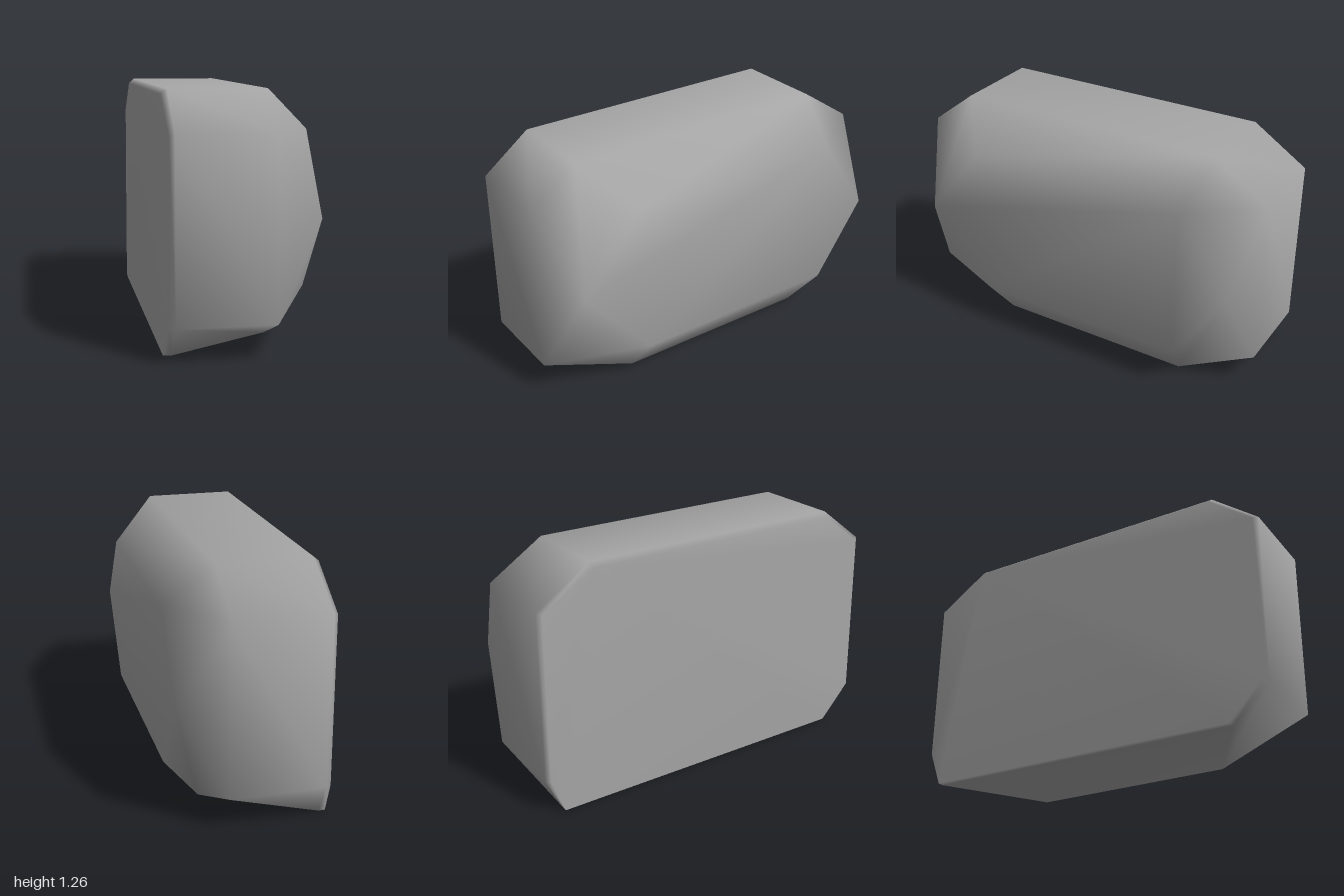
import * as THREE from 'three';
import { mergeVertices } from 'three/addons/utils/BufferGeometryUtils.js';

// Cross-sections from -x to +x. Each runs: top back, top front, upper front,
// lower front, bottom front, bottom back, lower back, upper back as [x, y, z].
const sections = [
  // flat side
  [[-0.38, 1.235, -0.7], [-0.38, 1.235, 0.74], [-0.375, 1.06, 0.975], [-0.38, 0.18, 0.975],
    [-0.385, 0, 0.8], [-0.385, 0, -0.91], [-0.38, 0.18, -0.98], [-0.375, 1.06, -0.98]],
  // narrow bevel
  [[-0.35, 1.26, -0.71], [-0.35, 1.26, 0.75], [-0.35, 1.07, 1], [-0.35, 0.18, 1],
    [-0.35, 0, 0.81], [-0.35, 0, -0.91], [-0.35, 0.18, -1], [-0.35, 1.07, -1]],
  // end of the full-size body
  [[0.13, 1.26, -0.71], [0.13, 1.26, 0.75], [0.13, 1.07, 1], [0.13, 0.18, 1],
    [0.18, 0, 0.5], [0.19, 0, -0.6], [0.13, 0.18, -1], [0.13, 1.07, -1]],
  // smaller six-sided face, its front and back coming to a point
  [[0.38, 1.05, -0.65], [0.375, 1.05, 0.55], [0.37, 0.65, 0.87], [0.37, 0.65, 0.87],
    [0.38, 0.24, 0.5], [0.38, 0.24, -0.65], [0.38, 0.64, -0.93], [0.38, 0.64, -0.93]],
];

// Skin the sections and close both ends
function loft(rings) {
  const n = rings[0].length;
  const last = (rings.length - 1) * n;
  const index = [];
  for (let i = 0; i < rings.length - 1; i++) {
    for (let j = 0; j < n; j++) {
      const k = (j + 1) % n;
      const a = i * n + j, b = i * n + k, c = b + n, d = a + n;
      index.push(a, b, c, a, c, d);
    }
  }
  for (let j = 1; j < n - 1; j++) {
    index.push(0, j + 1, j);
    index.push(last, last + j, last + j + 1);
  }
  const geometry = new THREE.BufferGeometry();
  geometry.setAttribute('position', new THREE.Float32BufferAttribute(rings.flat(2), 3));
  geometry.setIndex(index);
  const merged = mergeVertices(geometry);
  merged.computeVertexNormals();
  return merged;
}

export function createModel() {
  const group = new THREE.Group();
  group.name = 'bevelledBlock';
  const stone = new THREE.MeshStandardMaterial({ color: 0xa6a6a6 });
  stone.name = 'stone grey';
  const body = new THREE.Mesh(loft(sections), stone);
  body.name = 'blockBody';
  group.add(body);
  return group;
}
